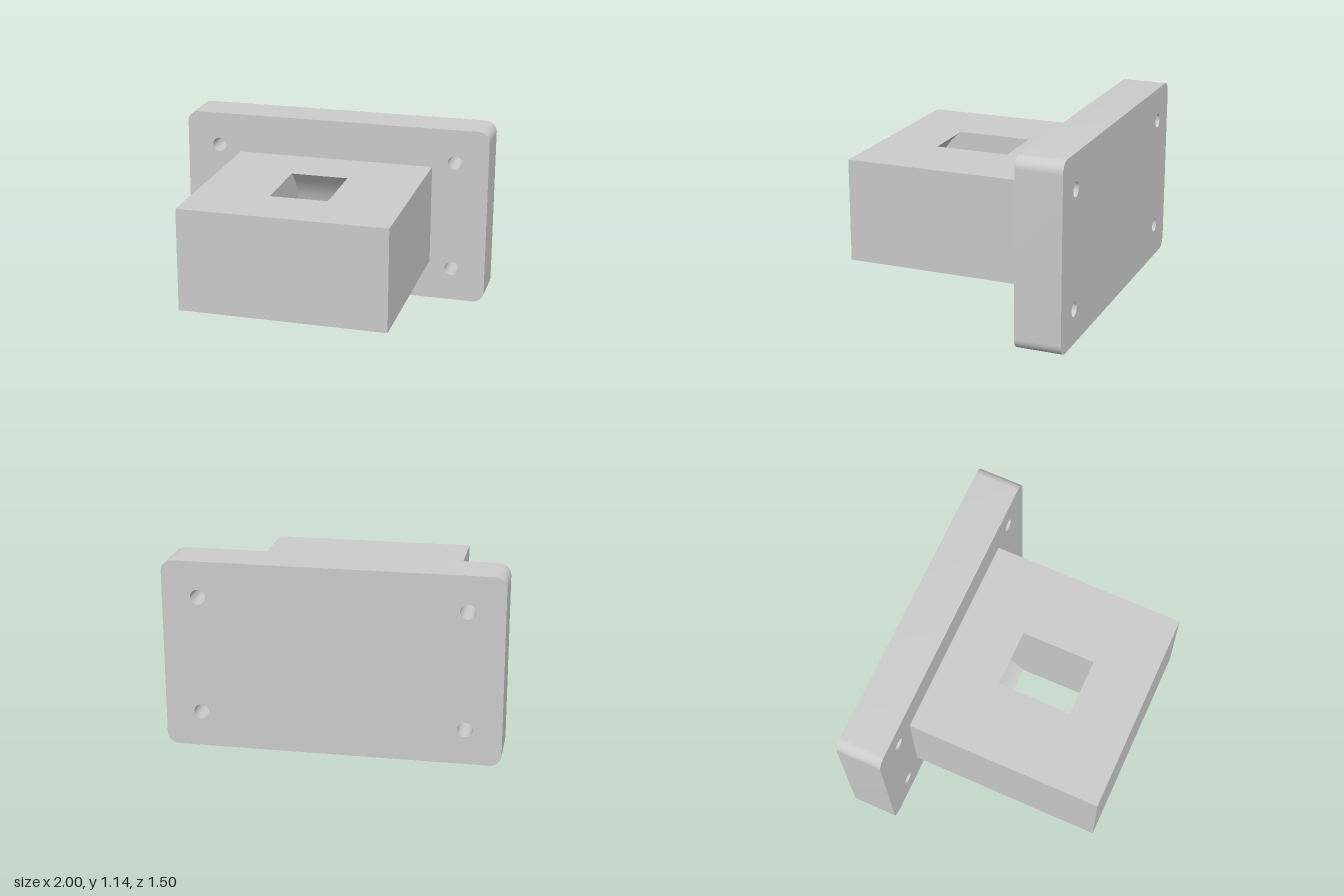
import * as THREE from 'three';
import { toCreasedNormals } from 'three/addons/utils/BufferGeometryUtils.js';

const H = 1.143;                                  // plate height
const PLATE_BACK = -0.748, PLATE_FRONT = -0.467;
const MID_Y = H / 2;
const BLOCK = { w: 1.278, h: 0.638, front: 0.748 };
const OPENING = { w: 0.36, d: 0.465 };

function roundedRect(w, h, r) {
  const s = new THREE.Shape();
  const x = w / 2 - r, y = h / 2 - r;
  s.absarc(x, y, r, 0, Math.PI / 2);
  s.absarc(-x, y, r, Math.PI / 2, Math.PI);
  s.absarc(-x, -y, r, Math.PI, Math.PI * 1.5);
  s.absarc(x, -y, r, Math.PI * 1.5, Math.PI * 2);
  s.closePath();
  return s;
}

function rect(PathType, w, h) {
  return new PathType([[-1, -1], [1, -1], [1, 1], [-1, 1]]
    .map(([x, y]) => new THREE.Vector2(x * w / 2, y * h / 2)));
}

export function createModel() {
  const model = new THREE.Group();
  const solid = new THREE.MeshStandardMaterial({ color: 0xcccccc });
  const open = new THREE.MeshStandardMaterial({ color: 0xcccccc, side: THREE.DoubleSide });

  const add = (parent, name, geometry, material, x = 0, y = 0, z = 0) => {
    const mesh = new THREE.Mesh(geometry, material);
    mesh.name = name;
    mesh.position.set(x, y, z);
    parent.add(mesh);
  };

  // Mounting plate with rounded corners and four bolt holes
  const plate = roundedRect(2, H, 0.07);
  for (const sx of [-1, 1]) for (const sy of [-1, 1]) {
    plate.holes.push(new THREE.Path().absarc(sx * 0.785, sy * 0.357, 0.045, 0, Math.PI * 2, true));
  }
  const plateGeo = new THREE.ExtrudeGeometry(plate, {
    depth: PLATE_FRONT - PLATE_BACK, bevelEnabled: false, curveSegments: 16,
  });
  add(model, 'mountingPlate', toCreasedNormals(plateGeo, 0.6), solid, 0, MID_Y, PLATE_BACK);

  // Projecting block, centred on its own group; its rear joins the plate
  const block = new THREE.Group();
  block.name = 'block';
  const length = BLOCK.front - PLATE_FRONT;
  block.position.set(0, MID_Y, (BLOCK.front + PLATE_FRONT) / 2);
  model.add(block);

  add(block, 'blockFront', new THREE.PlaneGeometry(BLOCK.w, BLOCK.h), solid, 0, 0, length / 2);

  // Cavity: a sideways drum cut off by the block's top and bottom
  const radius = Math.hypot(OPENING.d / 2, BLOCK.h / 2);
  const a = Math.atan2(BLOCK.h, OPENING.d);
  const drumSide = new THREE.Shape();
  drumSide.absarc(0, 0, radius, -a, a);
  drumSide.absarc(0, 0, radius, Math.PI - a, Math.PI + a);
  drumSide.closePath();

  for (const s of [-1, 1]) {
    const side = s > 0 ? 'left' : 'right';

    // Outer side of the block
    add(block, side + 'BlockSide',
      new THREE.PlaneGeometry(length, BLOCK.h).rotateY(s * Math.PI / 2), solid, s * BLOCK.w / 2);

    // Top and bottom faces with the rectangular opening
    const face = rect(THREE.Shape, BLOCK.w, length);
    face.holes.push(rect(THREE.Path, OPENING.w, OPENING.d));
    add(block, s > 0 ? 'blockTop' : 'blockBottom',
      new THREE.ShapeGeometry(face).rotateX(-s * Math.PI / 2), solid, 0, s * BLOCK.h / 2);

    // Flat cavity wall facing inward
    add(block, side + 'CavityWall',
      new THREE.ShapeGeometry(drumSide, 24).rotateY(-s * Math.PI / 2), open, s * OPENING.w / 2);

    // Curved cavity wall
    const start = s > 0 ? -a : Math.PI - a;
    add(block, s > 0 ? 'frontCavityWall' : 'backCavityWall',
      new THREE.CylinderGeometry(radius, radius, OPENING.w, 24, 1, true, start, 2 * a)
        .rotateZ(Math.PI / 2), open);
  }

  return model;
}
